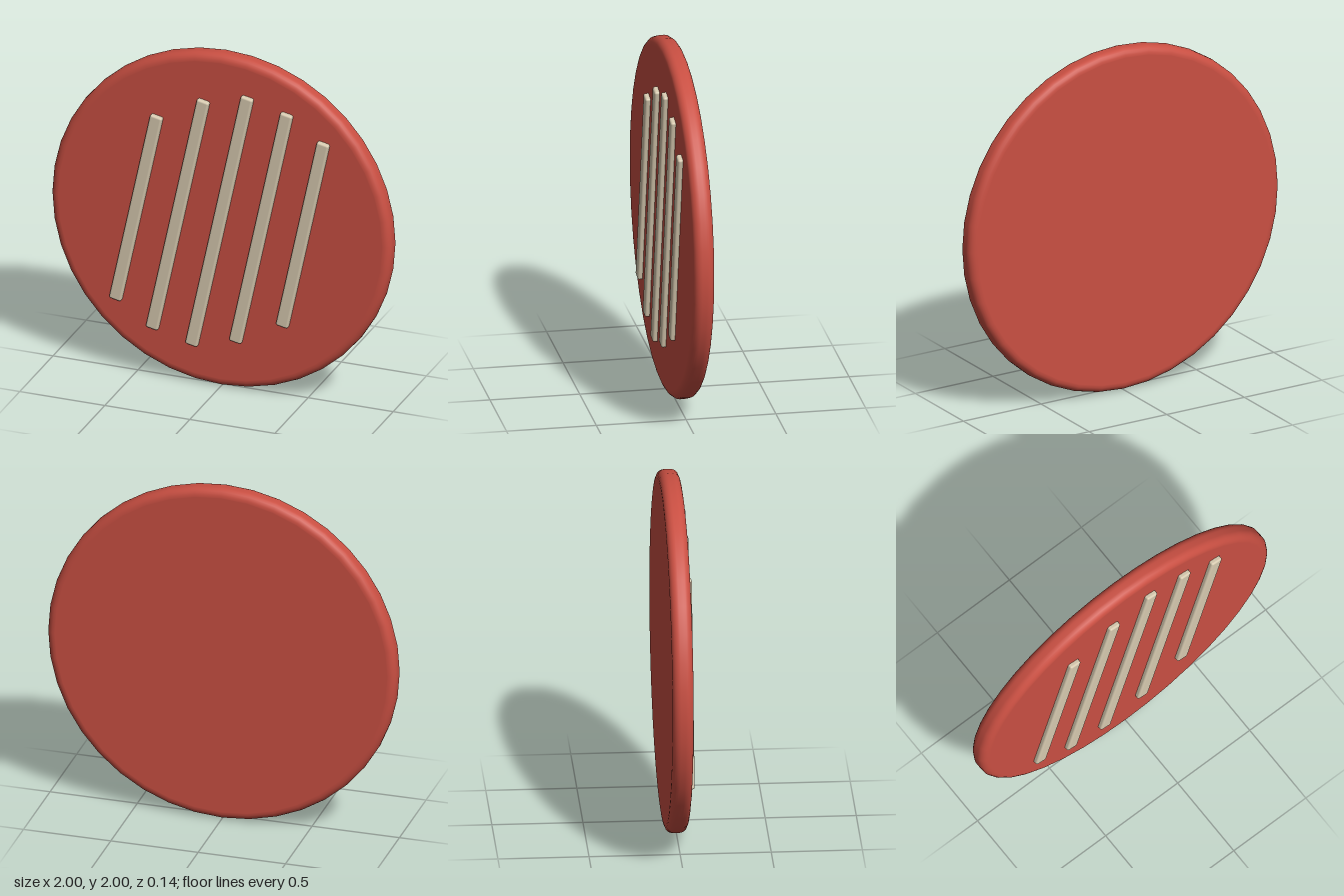
import * as THREE from 'three';
import { RoundedBoxGeometry } from 'three/addons/geometries/RoundedBoxGeometry.js';

export function createModel() {
  const model = new THREE.Group();
  model.name = 'stripedDisc';
  const red = new THREE.MeshStandardMaterial({ name: 'brick red', color: 0xc94f42 });
  const cream = new THREE.MeshStandardMaterial({ name: 'warm cream', color: 0xd6c9af });

  // Flat disc with a rounded rim, turned to face the front
  const back = -0.072, front = 0.044, r = 0.045;
  const profile = [new THREE.Vector2(0, back), new THREE.Vector2(1 - r - 0.004, back)];
  for (const [y, start] of [[back + r, -90], [front - r, 0]]) {
    for (let i = 0; i <= 6; i++) {
      const a = THREE.MathUtils.degToRad(start + i * 15);
      profile.push(new THREE.Vector2(1 - r + r * Math.cos(a), y + r * Math.sin(a)));
    }
  }
  profile.push(new THREE.Vector2(1 - r - 0.004, front), new THREE.Vector2(0, front));
  const disc = new THREE.Mesh(new THREE.LatheGeometry(profile, 40), red);
  disc.name = 'disc';
  disc.rotation.x = Math.PI / 2;
  disc.position.y = 1;
  model.add(disc);

  // Five slanted raised bars, longest in the middle
  const bars = new THREE.Group();
  bars.name = 'bars';
  const lengths = [1.17, 1.455, 1.58, 1.455, 1.17];
  lengths.forEach((length, i) => {
    const bar = new THREE.Mesh(new RoundedBoxGeometry(0.072, length, 0.05, 3, 0.012), cream);
    bar.name = 'bar' + (i + 1);
    bar.position.set((i - 2) * 0.245, 1.005, 0.046);
    bar.rotation.z = -THREE.MathUtils.degToRad(12);
    bars.add(bar);
  });
  model.add(bars);
  return model;
}
